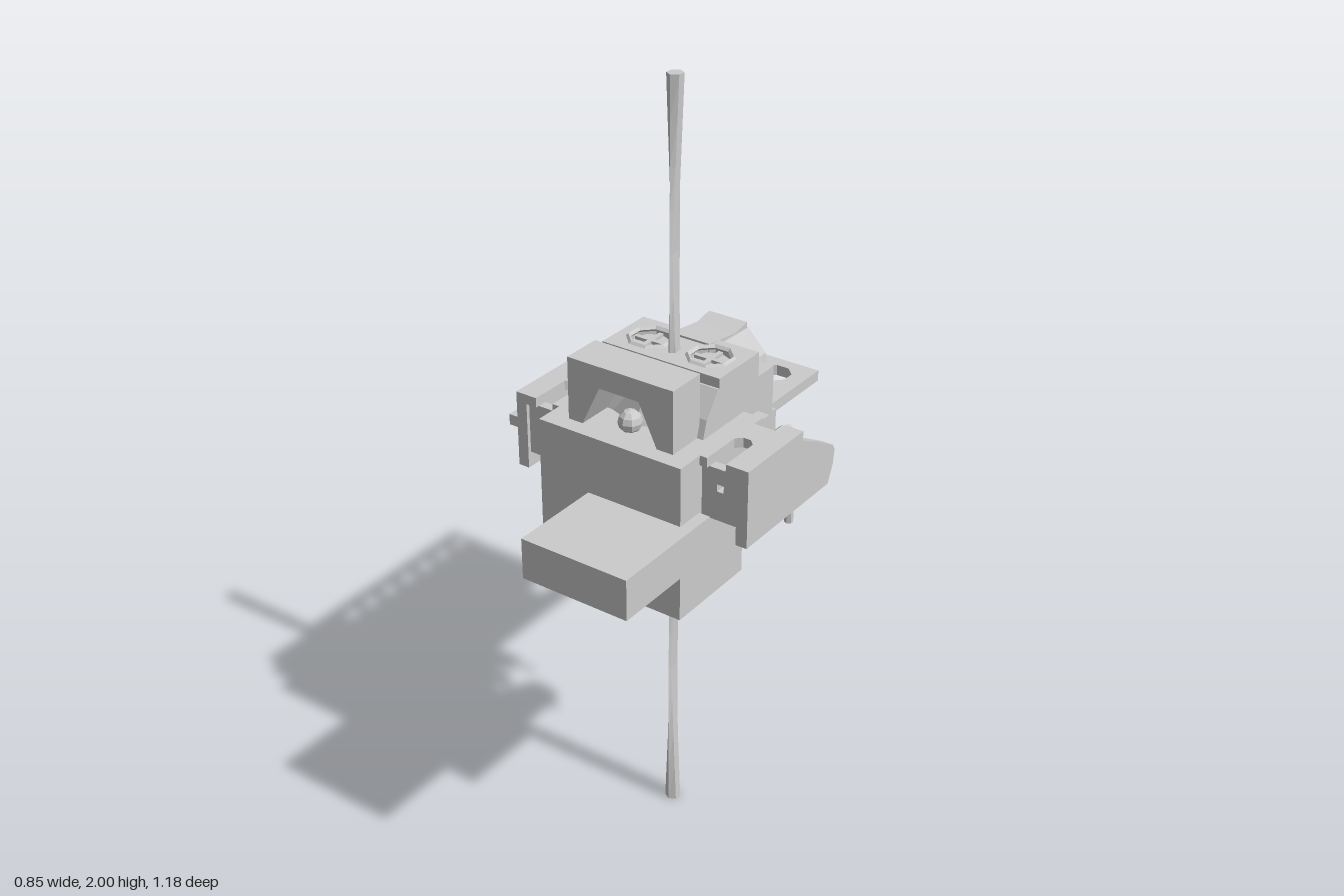
import * as THREE from 'three';

const CX = 0.09; // symmetry axis of the connector assembly
const mat = new THREE.MeshStandardMaterial({ color: 0xcccccc, flatShading: true, side: THREE.DoubleSide });

export function createModel() {
  const root = new THREE.Group();
  const add = (name, geo, parent = root) => {
    const m = new THREE.Mesh(geo, mat);
    m.name = name;
    parent.add(m);
    return m;
  };
  const group = (name) => {
    const g = new THREE.Group();
    g.name = name;
    root.add(g);
    return g;
  };
  // box given by its limits on each axis
  const box = (name, x0, x1, y0, y1, z0, z1, parent) =>
    add(name, new THREE.BoxGeometry(Math.abs(x1 - x0), y1 - y0, z1 - z0)
      .translate((x0 + x1) / 2, (y0 + y1) / 2, (z0 + z1) / 2), parent);
  const poly = (pts) => new THREE.Shape(pts.map(([a, b]) => new THREE.Vector2(a, b)));
  const ngon = (x, y, r, n) => poly(Array.from({ length: n }, (_, i) => {
    const a = (i + 0.5) / n * Math.PI * 2;
    return [x + r * Math.cos(a), y + r * Math.sin(a)];
  }));
  const extrude = (shape, depth) => new THREE.ExtrudeGeometry(shape, { depth, bevelEnabled: false });
  // outline in (x, z), extruded down from y = top
  const slab = (name, pts, holes, top, depth, parent) => {
    const s = poly(pts);
    s.holes.push(...holes);
    return add(name, extrude(s, depth).rotateX(Math.PI / 2).translate(0, top, 0), parent);
  };
  // outline in (z, y), extruded across x
  const side = (name, pts, x0, x1, parent) =>
    add(name, extrude(poly(pts), x1 - x0).rotateY(-Math.PI / 2).translate(x1, 0, 0), parent);
  // box whose upper rim is drawn in
  const chip = (name, x, z, w, d, y, h, inset, parent) => {
    const g = new THREE.BoxGeometry(w, h, d, 1, 2, 1);
    const p = g.attributes.position;
    for (let i = 0; i < p.count; i++) {
      if (p.getY(i) > h * 0.4) p.setXYZ(i, p.getX(i) * (1 - 2 * inset / w), p.getY(i), p.getZ(i) * (1 - 2 * inset / d));
    }
    return add(name, g.translate(x, y + h / 2, z), parent);
  };

  // Circuit board with a row of contacts and a mounting hole
  const board = group('circuitBoard');
  const holes = [ngon(0, -0.51, 0.047, 8)];
  for (let i = 0; i < 8; i++) holes.push(ngon(-0.38, -0.545 + i * 0.083, 0.031, 12));
  slab('boardPlate', [[-0.43, -0.59], [0.09, -0.59], [0.09, 0.08], [-0.43, 0.08]], holes, 1, 0.03, board);
  chip('mainChip', -0.17, -0.253, 0.245, 0.24, 1, 0.035, 0.014, board);
  chip('smallChip', -0.173, -0.53, 0.08, 0.1, 1, 0.028, 0.006, board);
  for (const s of [-1, 1]) {
    for (const z of [-0.565, -0.53, -0.495]) {
      box('chipPin', -0.173 + s * 0.04, -0.173 + s * 0.067, 1, 1.012, z - 0.006, z + 0.006, board);
    }
  }
  // surface parts: centre x, centre z, width, depth
  const parts = [
    [-0.285, -0.53, 0.026, 0.08], [-0.082, -0.53, 0.026, 0.08], [0.012, -0.28, 0.042, 0.145],
    [-0.253, -0.45, 0.09, 0.018], [-0.253, -0.425, 0.09, 0.014], [-0.098, -0.45, 0.115, 0.018],
    [-0.098, -0.425, 0.115, 0.014], [-0.245, -0.09, 0.06, 0.028], [-0.125, -0.09, 0.06, 0.028],
    [-0.245, -0.04, 0.06, 0.032], [-0.125, -0.04, 0.06, 0.032], [-0.25, 0.013, 0.05, 0.032],
  ];
  for (const [x, z, w, d] of parts) {
    box('componentBody', x - w / 2, x + w / 2, 1, 1.014, z - d / 2, z + d / 2, board);
    for (const s of [-1, 1]) { // end caps along the longer direction
      const wide = w > d;
      const cw = wide ? w * 0.24 : w + 0.002, cd = wide ? d + 0.002 : d * 0.24;
      const cx = x + (wide ? s * (w - cw) / 2 : 0), cz = z + (wide ? 0 : s * (d - cd) / 2);
      box('componentCap', cx - cw / 2, cx + cw / 2, 1, 1.017, cz - cd / 2, cz + cd / 2, board);
    }
  }

  // Housing blocks and front tab
  box('lowerBlock', -0.11, 0.29, 0.8, 1, 0.085, 0.345);
  box('upperBlock', -0.11, 0.29, 1, 1.205, 0.085, 0.345);
  box('frontTab', 0.03, 0.32, 0.95, 1.055, 0.27, 0.59);

  // Side arms with a slotted top, front wall, outer blade and bent lead
  for (const s of [-1, 1]) {
    const arm = group(s > 0 ? 'leftArm' : 'rightArm');
    const X = (d) => CX + s * d;
    const span = (a, b) => [Math.min(X(a), X(b)), Math.max(X(a), X(b))];
    slab('armTop', [
      [0.16, 0.04], [0.22, 0.04], [0.22, 0.075], [0.28, 0.075], [0.28, 0.04], [0.33, 0.04], [0.33, 0.27],
      [0.27, 0.27], [0.27, 0.16], [0.255, 0.145], [0.235, 0.145], [0.22, 0.16], [0.22, 0.27], [0.16, 0.27],
    ].map(([x, z]) => [X(x), z]), [], 1.205, 0.025, arm);
    const wall = poly([[0.2, 1.045], [0.305, 1.045], [0.305, 1.18], [0.2, 1.18]].map(([x, y]) => [X(x), y]));
    wall.holes.push(ngon(X(0.25), 1.13, 0.013, 4));
    add('armFrontWall', extrude(wall, 0.025).translate(0, 0, 0.235), arm);
    side('armBlade', [[0.27, 1.005], [0.27, 1.19], [0.05, 1.185], [-0.02, 1.15], [-0.1, 1.105], [-0.11, 1.09],
      [-0.105, 1.05], [-0.085, 1.005]], ...span(0.3, 0.33), arm);
    box('armInnerWall', ...span(0.165, 0.2), 1.005, 1.18, -0.02, 0.1, arm);
    const path = new THREE.CurvePath();
    const pts = [[0.25, 1.165], [-0.02, 1.165], [-0.045, 1.13], [-0.045, 0.94], [-0.045, 0.89]]
      .map(([z, y]) => new THREE.Vector3(X(0.25), y, z));
    for (let i = 0; i < 4; i++) path.add(new THREE.LineCurve3(pts[i], pts[i + 1]));
    add('bentLead', new THREE.TubeGeometry(path, 24, 0.011, 6), arm);
    box('bodyStep', ...span(0.125, 0.165), 1.06, 1.27, -0.09, -0.02, arm);
  }

  // Terminal body with two recessed cross-slot screws
  const term = group('terminalBlock');
  side('terminalBody', [[0.21, 1.2], [0.195, 1.25], [0.15, 1.31], [-0.02, 1.31], [-0.02, 1.02], [0.1, 1.02], [0.1, 1.2]],
    -0.075, 0.257, term);
  slab('terminalTop', [[-0.075, -0.02], [0.257, -0.02], [0.257, 0.145], [-0.075, 0.145]],
    [ngon(0.007, 0.063, 0.06, 8), ngon(0.177, 0.063, 0.06, 8)], 1.335, 0.025, term);
  for (const x of [0.007, 0.177]) {
    add('screwRim', new THREE.TorusGeometry(0.055, 0.007, 4, 8).rotateX(Math.PI / 2)
      .rotateY(Math.PI / 8).translate(x, 1.334, 0.063), term);
    add('screwHead', new THREE.CylinderGeometry(0.048, 0.052, 0.012, 8).translate(x, 1.316, 0.063), term);
    box('screwCross', x - 0.043, x + 0.043, 1.32, 1.33, 0.057, 0.069, term);
    box('screwCross', x - 0.006, x + 0.006, 1.32, 1.33, 0.02, 0.106, term);
  }

  // Front clip: plate with a trapezoid mouth around a small knob
  add('frontClip', extrude(poly([[-0.055, 1.205], [-0.055, 1.365], [0.24, 1.365], [0.24, 1.205], [0.195, 1.205],
    [0.145, 1.31], [0.035, 1.31], [-0.015, 1.205]]), 0.105).translate(0, 0, 0.198));
  add('mouthCone', new THREE.ConeGeometry(0.1, 0.12, 6).scale(1, 1, 0.6).translate(CX, 1.265, 0.18));
  add('mouthKnob', new THREE.SphereGeometry(0.03, 8, 6).translate(CX, 1.225, 0.26));

  // Rounded rear housing, narrowing slightly towards the back
  const rear = group('rearHousing');
  const dome = extrude(poly([[-0.13, 1.04], [-0.13, 1.2], [-0.115, 1.27], [-0.06, 1.325], [0.06, 1.325],
    [0.115, 1.27], [0.13, 1.2], [0.13, 1.04]]), 0.125);
  const p = dome.attributes.position;
  for (let i = 0; i < p.count; i++) {
    if (p.getZ(i) < 0.01) p.setXY(i, p.getX(i) * 0.93, 1.18 + (p.getY(i) - 1.18) * 0.96);
  }
  add('rearDome', dome.translate(CX, 0, -0.145), rear);
  side('domeRidge', [[0.02, 1.34], [-0.09, 1.325], [-0.14, 1.335], [-0.14, 1.29], [0.02, 1.3]], 0.035, 0.145, rear);
  for (const [y, r] of [[1.23, 0.045], [1.13, 0.018]]) {
    add('rearBoss', new THREE.CylinderGeometry(r, r * 1.1, 0.025, 6).rotateX(-Math.PI / 2).translate(CX, y, -0.15), rear);
  }
  for (const s of [-1, 1]) {
    const a = CX + s * 0.05, b = CX + s * 0.128;
    box('rearFoot', Math.min(a, b), Math.max(a, b), 1.01, 1.11, -0.168, -0.1, rear);
    const leg = new THREE.CatmullRomCurve3([[1.04, -0.14], [0.98, -0.13], [0.93, -0.142], [0.89, -0.148]]
      .map(([y, z]) => new THREE.Vector3(CX + s * 0.09, y, z)));
    add('rearLeg', new THREE.TubeGeometry(leg, 10, 0.009, 5), rear);
    box('underStrut', CX + s * 0.032 - 0.009, CX + s * 0.032 + 0.009, 0.88, 1.03, 0.02, 0.075, rear);
    box('underLug', CX + s * 0.07 - 0.01, CX + s * 0.07 + 0.01, 0.91, 1.04, -0.085, -0.03, rear);
  }

  // Vertical rod: two lengths that flatten at mid-span, joined by a collar
  const rod = group('rod');
  for (const [y0, y1] of [[0, 0.86], [1.16, 2]]) {
    const h = y1 - y0;
    const g = new THREE.CylinderGeometry(0.02, 0.02, h, 6, 8);
    const q = g.attributes.position;
    for (let i = 0; i < q.count; i++) {
      q.setX(i, q.getX(i) * Math.max(0.06, Math.abs(q.getY(i)) / (h / 2)));
    }
    add('rodLength', g.translate(CX, (y0 + y1) / 2, 0.085), rod);
  }
  add('rodCore', new THREE.CylinderGeometry(0.018, 0.018, 0.3, 6).translate(CX, 1.01, 0.085), rod);
  add('rodCollar', new THREE.CylinderGeometry(0.045, 0.04, 0.04, 8).translate(CX, 0.87, 0.045), rod);
  return root;
}
